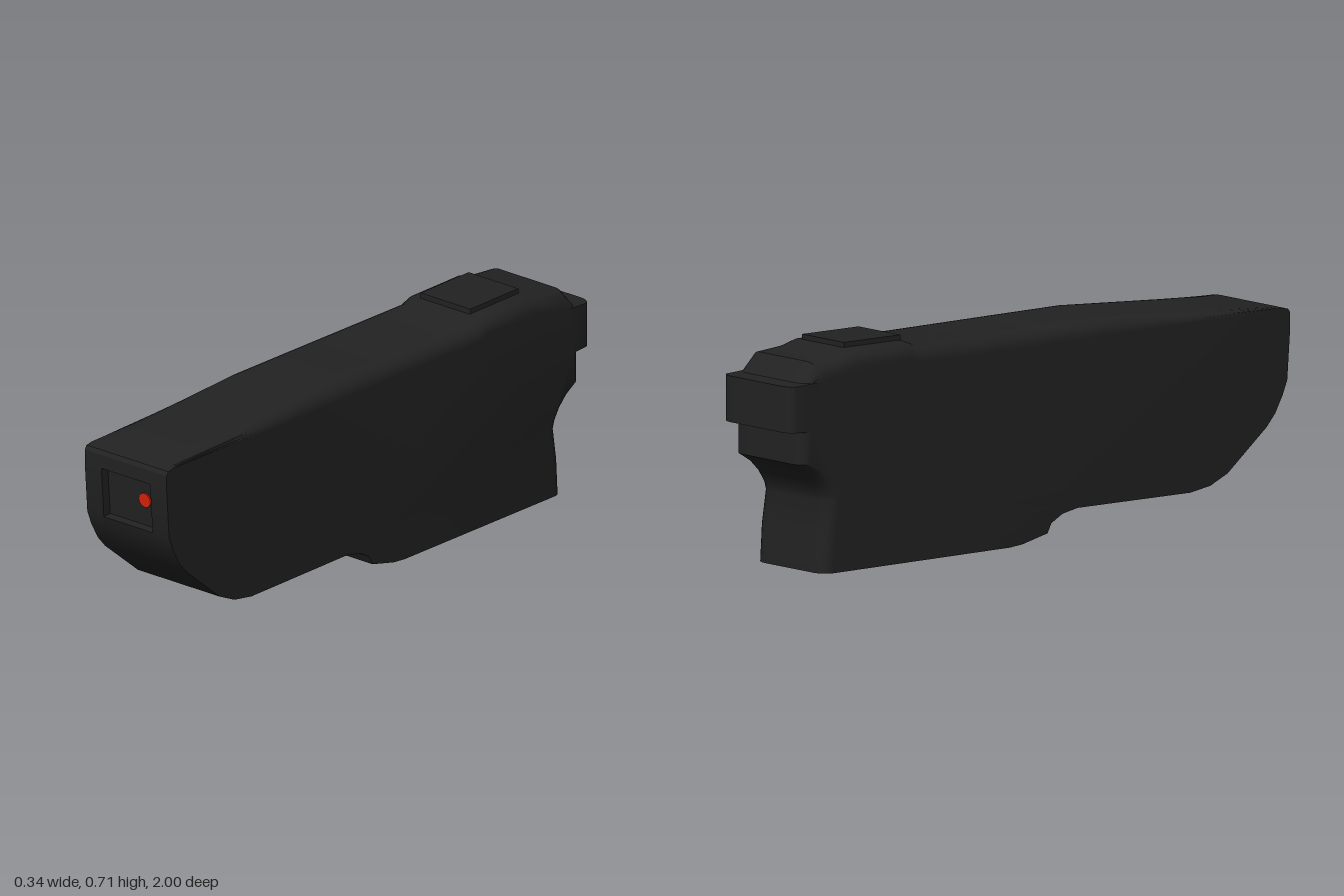
import * as THREE from 'three';
import { toCreasedNormals } from 'three/addons/utils/BufferGeometryUtils.js';

const W = 0.168, R = 0.05, SLOT = 0.1, DEPTH = 0.03;

// Side outline (z, y), in runs from the front top round the back to the front
const TOP = [[1, 0.625], [0.992, 0.638], [0.97, 0.644], [0.6, 0.666], [0.32, 0.683], [0, 0.68],
  [-0.47, 0.675], [-0.51, 0.69], [-0.73, 0.69], [-0.79, 0.674], [-0.89, 0.665]];
const BACK = [[-0.94, 0.604], [-1, 0.6], [-1, 0.455], [-0.955, 0.452], [-0.955, 0.35],
  [-0.91, 0.322], [-0.875, 0.287], [-0.852, 0.25], [-0.845, 0.225], [-0.861, 0.12], [-0.868, 0]];
const BOTTOM = [[-0.12, 0.006], [-0.07, 0.011], [0.03, 0.035], [0.045, 0.065], [0.09, 0.09],
  [0.15, 0.102], [0.6, 0.102], [0.68, 0.115], [0.75, 0.147]];
const FRONT = [[0.905, 0.275], [0.94, 0.315], [0.97, 0.37], [0.988, 0.415], [1, 0.58]];
const OUTLINE = [...TOP, ...BACK, ...BOTTOM, ...FRONT];
const SLOT_ROW = OUTLINE.length - 2;

// How far the outline sinks (z, y) at the side edges: the back is rounded,
// the top rounding fades out towards the front, the rest stays sharp
function sink(z, y) {
  const dz = z < -0.96 ? 0.025 : z < -0.84 ? 0.04 : 0;
  const dy = y > 0.63 ? -R * Math.min(1, (1 - z) / 0.68) : 0;
  return [dz, dy];
}

// Layers across the width: x and share of the edge rounding
function layers() {
  const half = [];
  for (let k = 0; k <= 6; k++) {
    const a = (k / 6) * Math.PI / 2;
    half.push([W - R + R * Math.cos(a), 1 - Math.sin(a)]);
  }
  half.push([SLOT, 0]);
  return [...half.map(([x, s]) => [-x, s]), ...half.reverse()];
}

function bodyGeometry() {
  const pos = [], cols = layers(), n = OUTLINE.length;
  const point = (i, j) => {
    const [z, y] = OUTLINE[i % n], [dz, dy] = sink(z, y), [x, s] = cols[j];
    return [x, y + dy * s, z + dz * s];
  };
  const tri = (a, b, c) => pos.push(...a, ...b, ...c);
  const quad = (a, b, c, d) => { tri(a, b, c); tri(a, c, d); };

  for (let i = 0; i < n; i++) {
    for (let j = 0; j < cols.length - 1; j++) {
      const c = [point(i, j), point(i, j + 1), point(i + 1, j + 1), point(i + 1, j)];
      if (i !== SLOT_ROW || cols[j][0] !== -SLOT) { quad(...c); continue; }
      // Sunken window in the front face: four walls and a floor
      const inner = c.map(([x, y, z]) => [x, y + 0.002, z - DEPTH]);
      for (let k = 0; k < 4; k++) {
        const m = (k + 1) % 4;
        quad(c[k], c[m], inner[m], inner[k]);
      }
      quad(...inner);
    }
  }
  // Flat sides
  for (const j of [0, cols.length - 1]) {
    const rim = OUTLINE.map((_, i) => point(i, j)).reverse();
    const flat = rim.map(([, y, z]) => new THREE.Vector2(-z, y));
    for (const [a, b, c] of THREE.ShapeUtils.triangulateShape(flat, [])) {
      if (j) tri(rim[a], rim[b], rim[c]);
      else tri(rim[a], rim[c], rim[b]);
    }
  }
  const g = new THREE.BufferGeometry();
  g.setAttribute('position', new THREE.Float32BufferAttribute(pos, 3));
  return toCreasedNormals(g, 0.55);
}

export function createModel() {
  const black = new THREE.MeshStandardMaterial({ color: 0x222222 });
  black.name = 'black plastic';
  const red = new THREE.MeshStandardMaterial({ color: 0xd8240c });
  red.name = 'red light';

  const group = new THREE.Group();
  group.name = 'handheldHousing';
  const add = (name, geometry, material, x, y, z) => {
    const mesh = new THREE.Mesh(geometry, material);
    mesh.name = name;
    mesh.position.set(x, y, z);
    group.add(mesh);
    return mesh;
  };

  add('body', bodyGeometry(), black, 0, 0, 0);
  // Raised pad on the top
  add('topButton', new THREE.BoxGeometry(0.204, 0.03, 0.226), black, 0, 0.691, -0.618);
  // Small lamp on the window floor
  const lamp = add('indicatorLight', new THREE.CylinderGeometry(0.024, 0.024, 0.008, 12),
    red, 0.05, 0.504, 0.965);
  lamp.rotation.x = Math.PI / 2 + 0.07;
  return group;
}
